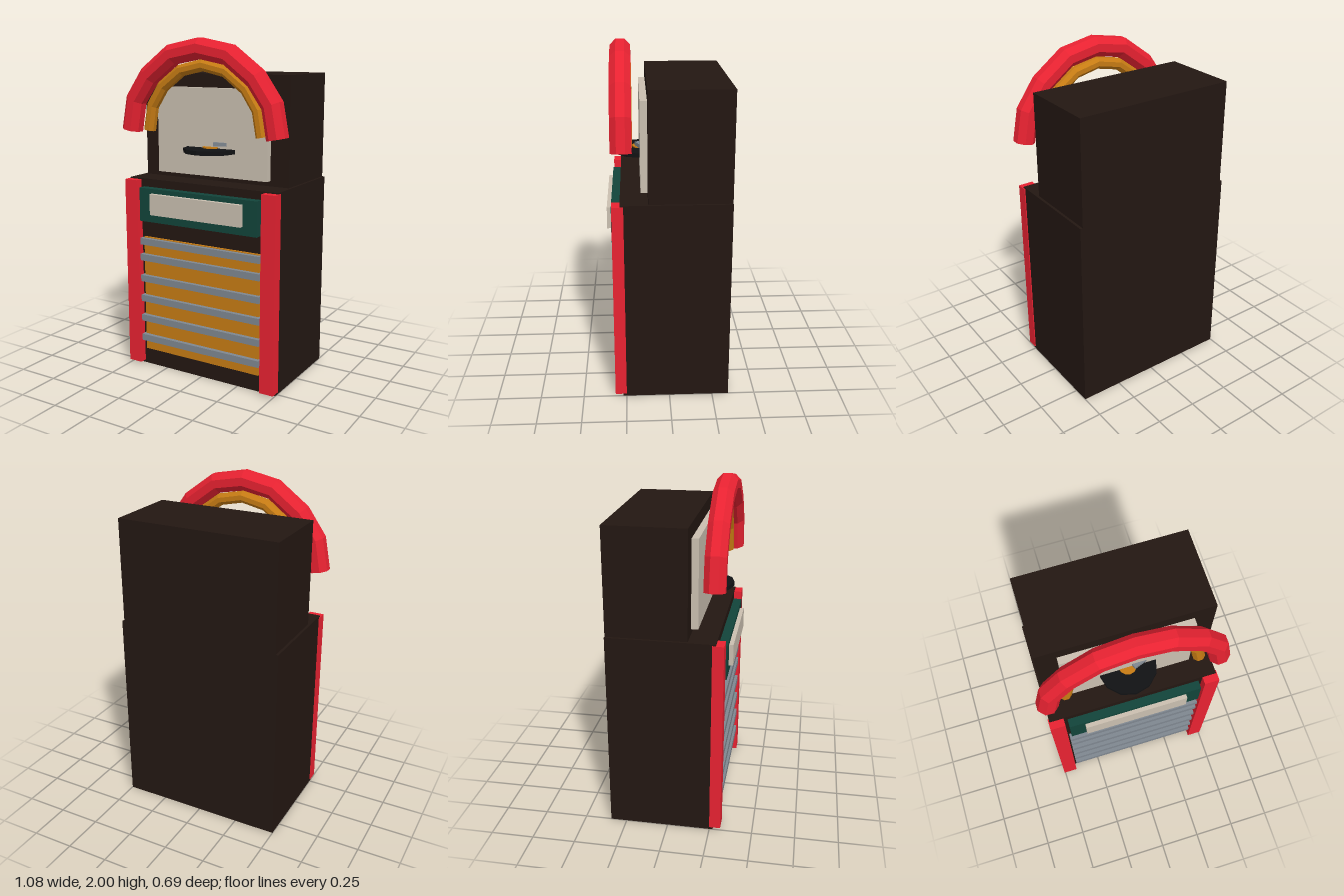
import * as THREE from 'three';

const paint = (color) => new THREE.MeshStandardMaterial({ color, flatShading: true });

// Octagonal tube swept along a mirrored arch in the xy plane, with capped ends
function archGeometry(half, z, radius, sides = 8) {
  const path = [...half.slice(1).reverse().map(([x, y]) => [-x, y]), ...half]
    .map(([x, y]) => new THREE.Vector3(x, y, z));
  const rings = path.map((p, i) => {
    const a = path[Math.max(i - 1, 0)];
    const b = path[Math.min(i + 1, path.length - 1)];
    const t = b.clone().sub(a).normalize();
    const out = new THREE.Vector3(-t.y, t.x, 0);
    return Array.from({ length: sides }, (_, k) => {
      const ang = ((k + 0.5) / sides) * Math.PI * 2;
      return p.clone().addScaledVector(out, Math.cos(ang) * radius)
        .add(new THREE.Vector3(0, 0, Math.sin(ang) * radius));
    });
  });
  const pts = [];
  const last = rings.length - 1;
  for (let k = 0; k < sides; k++) {
    const n = (k + 1) % sides;
    for (let i = 0; i < last; i++) {
      const [a, b, c, d] = [rings[i][k], rings[i][n], rings[i + 1][n], rings[i + 1][k]];
      pts.push(a, d, b, b, d, c);
    }
    pts.push(path[0], rings[0][k], rings[0][n]);
    pts.push(path[last], rings[last][n], rings[last][k]);
  }
  const geo = new THREE.BufferGeometry().setFromPoints(pts);
  geo.computeVertexNormals();
  return geo;
}

export function createModel() {
  const model = new THREE.Group();
  model.name = 'jukebox';

  const wood = paint(0x231712);
  const red = paint(0xe82231);
  const amber = paint(0xc77c14);
  const cream = paint(0xcabfb0);
  const green = paint(0x12443a);
  const steel = paint(0x7f8790);
  const black = paint(0x111214);
  red.side = amber.side = THREE.DoubleSide;

  const add = (name, geo, mat, x = 0, y = 0, z = 0) => {
    const mesh = new THREE.Mesh(geo, mat);
    mesh.name = name;
    mesh.position.set(x, y, z);
    model.add(mesh);
    return mesh;
  };
  // Box given by its limits on each axis
  const box = (name, mat, [x0, x1], [y0, y1], [z0, z1]) =>
    add(name, new THREE.BoxGeometry(x1 - x0, y1 - y0, z1 - z0), mat,
      (x0 + x1) / 2, (y0 + y1) / 2, (z0 + z1) / 2);

  // Cabinet
  box('lowerCabinet', wood, [-0.5, 0.5], [0, 1.18], [-0.345, 0.27]);
  box('upperCabinet', wood, [-0.485, 0.485], [1.18, 1.8], [-0.345, 0.115]);
  box('backboard', cream, [-0.37, 0.37], [1.21, 1.72], [0.11, 0.155]);

  // Side pillars
  box('leftPillar', red, [0.418, 0.506], [0.017, 1.173], [0.25, 0.315]);
  box('rightPillar', red, [-0.506, -0.418], [0.017, 1.173], [0.25, 0.315]);

  // Selector panel
  box('selectorPanel', green, [-0.397, 0.397], [0.93, 1.132], [0.26, 0.32]);
  box('titleStrip', cream, [-0.306, 0.306], [0.98, 1.105], [0.31, 0.345]);

  // Speaker grille with horizontal bars
  box('grille', amber, [-0.395, 0.395], [0.105, 0.825], [0.26, 0.285]);
  [0.185, 0.313, 0.44, 0.567, 0.7, 0.8].forEach((y) =>
    box('grilleBar', steel, [-0.408, 0.408], [y - 0.02, y + 0.02], [0.265, 0.31]));

  // Record, label and tone arm
  const disc = (name, mat, r, h, y) =>
    add(name, new THREE.CylinderGeometry(r, r, h, 12), mat, 0, y, 0.145);
  disc('record', black, 0.165, 0.025, 1.364);
  disc('recordLabel', amber, 0.052, 0.01, 1.379);
  const arm = add('toneArm', new THREE.BoxGeometry(0.09, 0.022, 0.03), steel, 0.07, 1.402, 0.152);
  arm.rotation.y = 0.35;

  // Arched tubes over the top
  add('outerArch', archGeometry(
    [[0, 1.942], [0.185, 1.907], [0.35, 1.785], [0.45, 1.645], [0.483, 1.467]], 0.257, 0.0625), red);
  add('innerArch', archGeometry(
    [[0, 1.85], [0.148, 1.818], [0.275, 1.725], [0.35, 1.612], [0.376, 1.468]], 0.23, 0.036), amber);

  return model;
}
